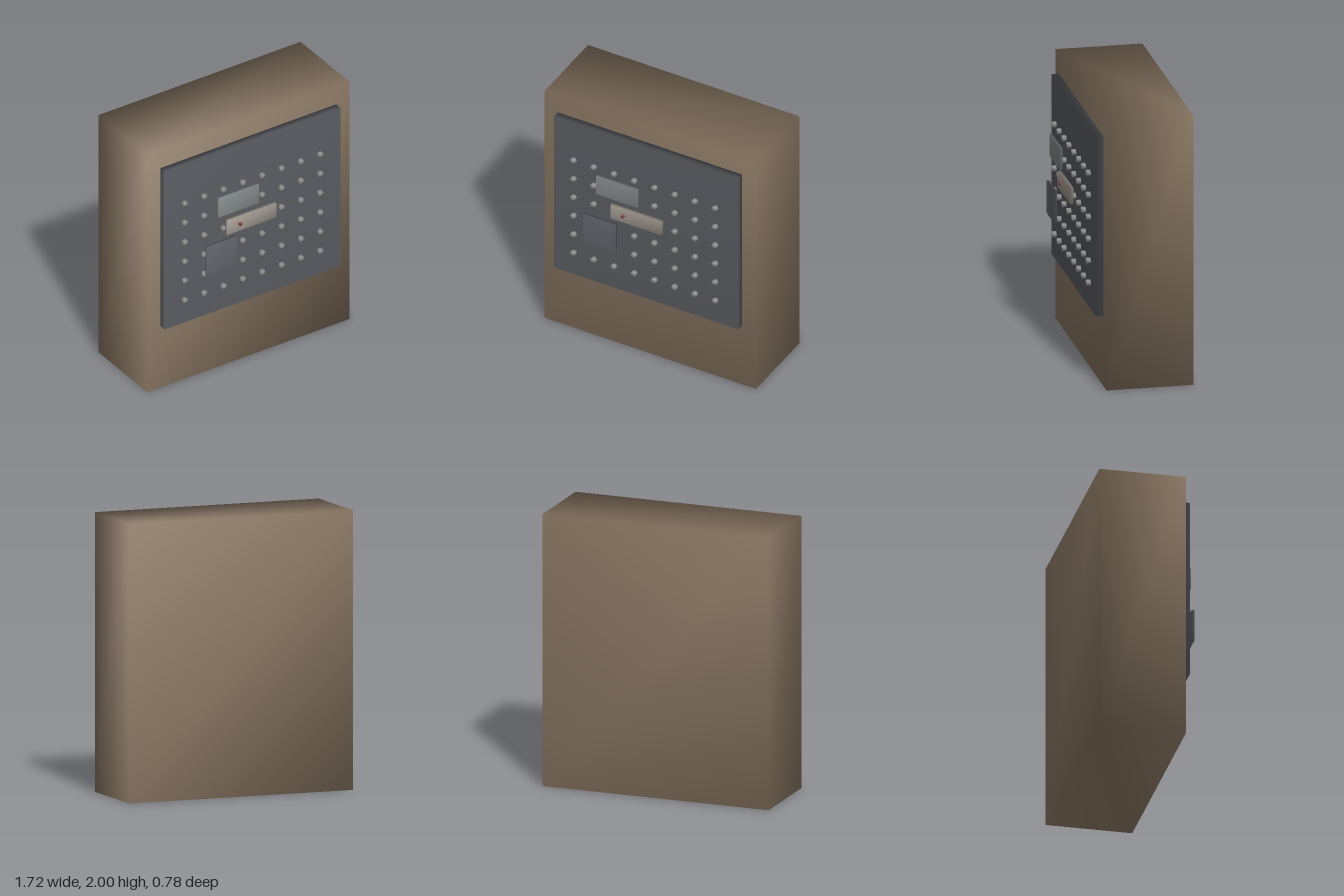
import * as THREE from 'three';
import { mergeVertices } from 'three/addons/utils/BufferGeometryUtils.js';

// share corners between faces so the shading runs smoothly round the edges
function soften(geometry) {
  geometry.deleteAttribute('normal');
  geometry.deleteAttribute('uv');
  const merged = mergeVertices(geometry, 1e-5);
  merged.computeVertexNormals();
  return merged;
}

function paint(color) {
  const material = new THREE.MeshStandardMaterial();
  material.color.set(color);
  return material;
}

// block given by its low and high limits on each axis
function block(name, [x0, x1], [y0, y1], [z0, z1], color) {
  const geometry = soften(new THREE.BoxGeometry(x1 - x0, y1 - y0, z1 - z0));
  const mesh = new THREE.Mesh(geometry, paint(color));
  mesh.position.set((x0 + x1) / 2, (y0 + y1) / 2, (z0 + z1) / 2);
  mesh.name = name;
  return mesh;
}

// six-sided peg pointing forward, with corners at its left and right
function pegGeometry(radius, length) {
  const geometry = new THREE.CylinderGeometry(radius, radius, length, 6, 1, false, Math.PI / 2);
  return soften(geometry.rotateX(Math.PI / 2));
}

export function createModel() {
  const model = new THREE.Group();
  model.name = 'pegBoardCabinet';

  // body and front panel
  model.add(
    block('cabinet', [-0.86, 0.86], [0, 2], [-0.39, 0.238], 0x8b7864),
    block('frontPanel', [-0.75, 0.747], [0.52, 1.853], [0.238, 0.293], 0x5a5d62),
  );

  // grid of pegs
  const pegs = new THREE.Group();
  pegs.name = 'pegs';
  const peg = pegGeometry(0.023, 0.036);
  const pegPaint = paint(0x8c8c8c);
  for (let row = 0; row < 6; row++) {
    for (let col = 0; col < 8; col++) {
      const mesh = new THREE.Mesh(peg, pegPaint);
      mesh.name = 'peg';
      mesh.position.set(-0.587 + col * 0.1645, 0.715 + row * 0.163, 0.305);
      pegs.add(mesh);
    }
  }
  model.add(pegs);

  // plates hung in front of the pegs
  model.add(
    block('upperPlate', [-0.356, -0.014], [1.375, 1.535], [0.37, 0.39], 0x858a8a),
    block('middlePlate', [-0.256, 0.16], [1.173, 1.292], [0.328, 0.353], 0xa09890),
    block('lowerPlate', [-0.456, -0.196], [0.92, 1.16], [0.37, 0.39], 0x62666b),
  );

  // red pin on the middle plate
  const pin = new THREE.Mesh(pegGeometry(0.014, 0.02), paint(0x8a4040));
  pin.name = 'redPin';
  pin.position.set(-0.153, 1.233, 0.358);
  model.add(pin);

  return model;
}
